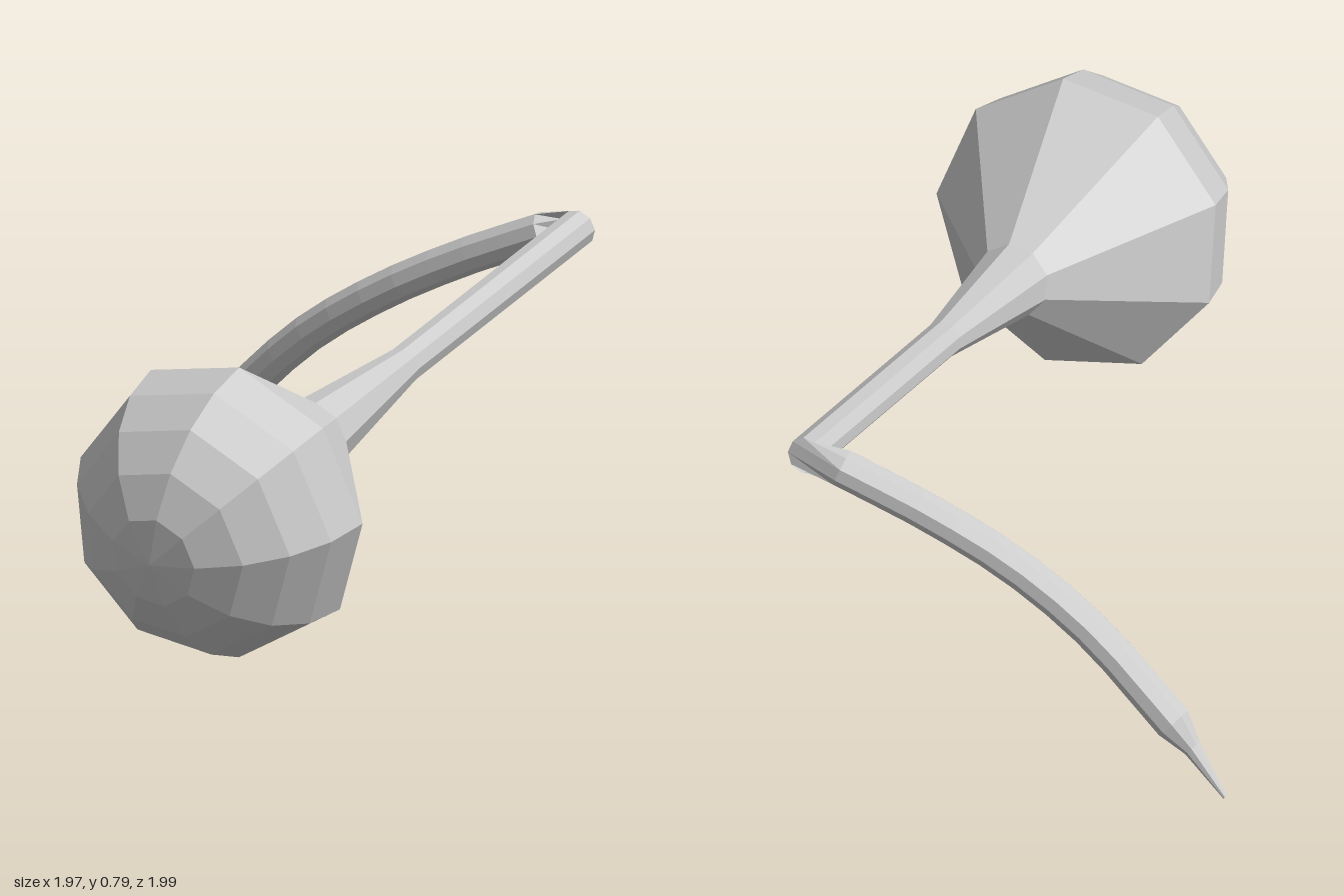
import * as THREE from 'three';

const SIDES = 9;
const V = (x, y, z) => new THREE.Vector3(x, y, z);

// Faceted skin through a list of rings (each an array of SIDES points)
function loft(name, rings, material) {
  const pos = [];
  const tri = (...pts) => {
    const area = pts[1].clone().sub(pts[0]).cross(pts[2].clone().sub(pts[0])).length();
    if (area > 1e-9) pts.forEach((p) => pos.push(p.x, p.y, p.z));
  };
  for (let i = 0; i < rings.length - 1; i++) {
    for (let j = 0; j < SIDES; j++) {
      const k = (j + 1) % SIDES;
      const [a, b, c, d] = [rings[i][j], rings[i][k], rings[i + 1][j], rings[i + 1][k]];
      tri(a, c, b);
      tri(b, c, d);
    }
  }
  const geo = new THREE.BufferGeometry();
  geo.setAttribute('position', new THREE.Float32BufferAttribute(pos, 3));
  geo.computeVertexNormals();
  const mesh = new THREE.Mesh(geo, material);
  mesh.name = name;
  return mesh;
}

export function createModel() {
  const group = new THREE.Group();
  group.name = 'bulbWithBentArm';
  const material = new THREE.MeshStandardMaterial({ color: 0xcccccc, flatShading: true });

  // Straight axis from the elbow to the bulb
  const elbow = V(0.095, 0.748, -0.985);
  const axis = V(0.302, -0.218, 0.93).normalize();
  const u = V(1, 0, 0).addScaledVector(axis, -axis.x).normalize();
  const v = axis.clone().cross(u);
  const still = new THREE.Quaternion();
  const ring = (centre, radius, turn = still) =>
    Array.from({ length: SIDES }, (_, j) => {
      const t = (j / SIDES) * Math.PI * 2 - 0.1;
      return u.clone().multiplyScalar(Math.cos(t) * radius)
        .addScaledVector(v, Math.sin(t) * radius)
        .applyQuaternion(turn).add(centre);
    });
  const along = (t, radius) => ring(elbow.clone().addScaledVector(axis, t), radius);

  // Bulb: a dome on the front and a cone narrowing to the neck
  const bulb = [];
  const steps = 5;
  for (let i = 0; i <= steps; i++) {
    const t = (i / steps) * Math.PI / 2;
    bulb.push(along(1.705 + 0.39 * Math.cos(t), 0.378 * Math.sin(t)));
  }
  const neck = along(1.295, 0.094);
  bulb.push(neck);
  group.add(loft('bulb', bulb, material));

  // Stalk: flares at the neck, even up to the elbow
  const stalkEnd = along(0, 0.047);
  group.add(loft('stalk', [neck, along(0.86, 0.047), stalkEnd], material));

  // Arm: curved tube, its ring frame carried along the curve
  const curve = new THREE.CatmullRomCurve3([
    V(0.012, 0.732, -0.945), V(-0.2, 0.64, -0.85), V(-0.4, 0.535, -0.768),
    V(-0.6, 0.405, -0.71), V(-0.82, 0.212, -0.663),
  ]);
  const turn = new THREE.Quaternion();
  const heading = axis.clone().negate();
  const steer = (dir) => {
    turn.premultiply(new THREE.Quaternion().setFromUnitVectors(heading, dir));
    heading.copy(dir);
  };
  const arm = [stalkEnd];
  const segments = 10;
  for (let i = 0; i <= segments; i++) {
    steer(curve.getTangentAt(i / segments));
    arm.push(ring(curve.getPointAt(i / segments), 0.048, turn));
  }
  group.add(loft('arm', arm, material));

  // Pointed tip
  const tipEnd = V(-0.978, 0.056, -0.651);
  group.add(loft('tip', [
    arm[arm.length - 1],
    ring(V(-0.876, 0.158, -0.656), 0.024, turn),
    ring(tipEnd, 0.006, turn),
    ring(tipEnd, 0, turn),
  ], material));

  return group;
}
